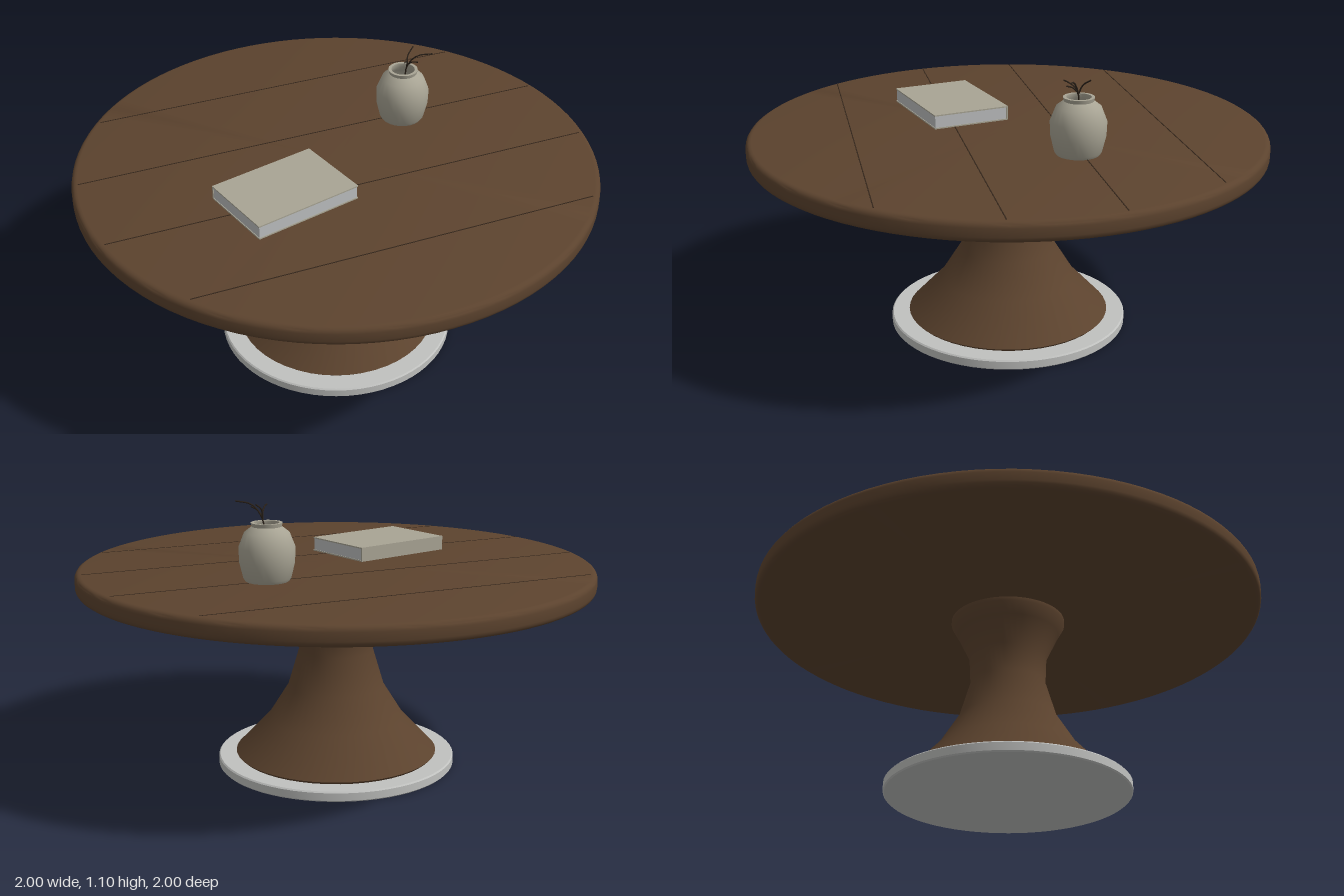
import * as THREE from 'three';
import { toCreasedNormals } from 'three/addons/utils/BufferGeometryUtils.js';

const material = (name, color) => {
  const m = new THREE.MeshStandardMaterial({ color });
  m.name = name;
  return m;
};

export function createModel() {
  const wood = material('brown wood', 0x5c432e);
  const seamDark = material('dark seam', 0x33251a);
  const metal = material('light grey metal', 0xc0c1bf);
  const ceramic = material('stone ceramic', 0xa8a494);
  const paper = material('pale paper', 0xbcbebf);
  const twigDark = material('dark twig', 0x2a2119);

  const model = new THREE.Group();
  model.name = 'pedestalTable';

  const add = (parent, name, geometry, mat, x = 0, y = 0, z = 0) => {
    const mesh = new THREE.Mesh(geometry, mat);
    mesh.name = name;
    mesh.position.set(x, y, z);
    parent.add(mesh);
    return mesh;
  };
  // Turned part from a bottom-to-top profile, with sharp edges kept
  const turned = (profile, segments, crease = 0.7) => toCreasedNormals(
    new THREE.LatheGeometry(profile.map(([r, y]) => new THREE.Vector2(r, y)), segments), crease);

  // Base plate
  add(model, 'basePlate', turned([
    [0, 0], [0.465, 0], [0.47, 0.005], [0.47, 0.035], [0.465, 0.04], [0, 0.04],
  ], 64), metal);

  // Flared pedestal
  add(model, 'pedestal', turned([
    [0, 0.04], [0.39, 0.04], [0.4, 0.05], [0.27, 0.187], [0.19, 0.315], [0.147, 0.46],
    [0.152, 0.57], [0.2, 0.67], [0.225, 0.715], [0.225, 0.732],
  ], 48), wood);

  // Round top with softened rim
  const bottom = 0.73, top = 0.805, round = 0.022, rim = [];
  for (let i = 0; i <= 4; i++) {
    const a = (i / 4) * Math.PI / 2;
    rim.push([1 - round + round * Math.sin(a), bottom + round - round * Math.cos(a)]);
  }
  const upperRim = rim.map(([r, y]) => [r, bottom + top - y]).reverse();
  add(model, 'tabletop', turned([[0, bottom], ...rim, ...upperRim, [0, top]], 96), wood);

  // Plank seams
  for (const z of [-0.6, -0.2, 0.2, 0.6]) {
    const length = 2 * Math.sqrt(0.975 ** 2 - z * z);
    add(model, 'plankSeam', new THREE.BoxGeometry(length, 0.002, 0.004), seamDark, 0, top, z);
  }

  // Book: two covers, spine at the back, page block
  const book = new THREE.Group();
  book.name = 'book';
  book.position.set(-0.275, top, 0.18);
  book.rotation.y = 0.234;
  model.add(book);
  const cover = new THREE.BoxGeometry(0.43, 0.005, 0.31);
  add(book, 'lowerCover', cover, ceramic, 0, 0.0025, 0);
  add(book, 'upperCover', cover, ceramic, 0, 0.0535, 0);
  add(book, 'spine', new THREE.BoxGeometry(0.43, 0.046, 0.006), ceramic, 0, 0.028, -0.152);
  add(book, 'pages', new THREE.BoxGeometry(0.424, 0.046, 0.301), paper, 0, 0.028, 0.0015);

  // Vase with open mouth
  const vase = new THREE.Group();
  vase.name = 'vaseWithTwigs';
  vase.position.set(0.363, top, -0.185);
  model.add(vase);
  add(vase, 'vase', turned([
    [0, 0], [0.08, 0], [0.088, 0.012], [0.102, 0.07], [0.104, 0.125], [0.083, 0.178],
    [0.055, 0.2], [0.058, 0.214], [0.046, 0.214], [0.046, 0.198], [0.07, 0.17],
    [0.085, 0.12], [0.07, 0.02], [0, 0.015],
  ], 24, 0.9), ceramic);

  // Twigs branching from one stem
  const twigs = [
    [[0, 0.03, 0], [0.008, 0.14, 0.002], [0.014, 0.228, 0.006], [0.045, 0.278, 0.03], [0.097, 0.29, 0.058]],
    [[0.013, 0.222, 0.005], [0.008, 0.25, 0.016], [-0.01, 0.268, 0.04], [-0.022, 0.272, 0.052]],
    [[0.014, 0.228, 0.006], [0.022, 0.262, -0.008], [0.055, 0.288, -0.03]],
    [[0.012, 0.235, 0.01], [0.022, 0.255, 0.03], [0.036, 0.266, 0.058]],
  ];
  for (const points of twigs) {
    const curve = new THREE.CatmullRomCurve3(points.map((p) => new THREE.Vector3(...p)));
    add(vase, 'twig', new THREE.TubeGeometry(curve, 14, 0.0028, 6), twigDark);
  }
  return model;
}
